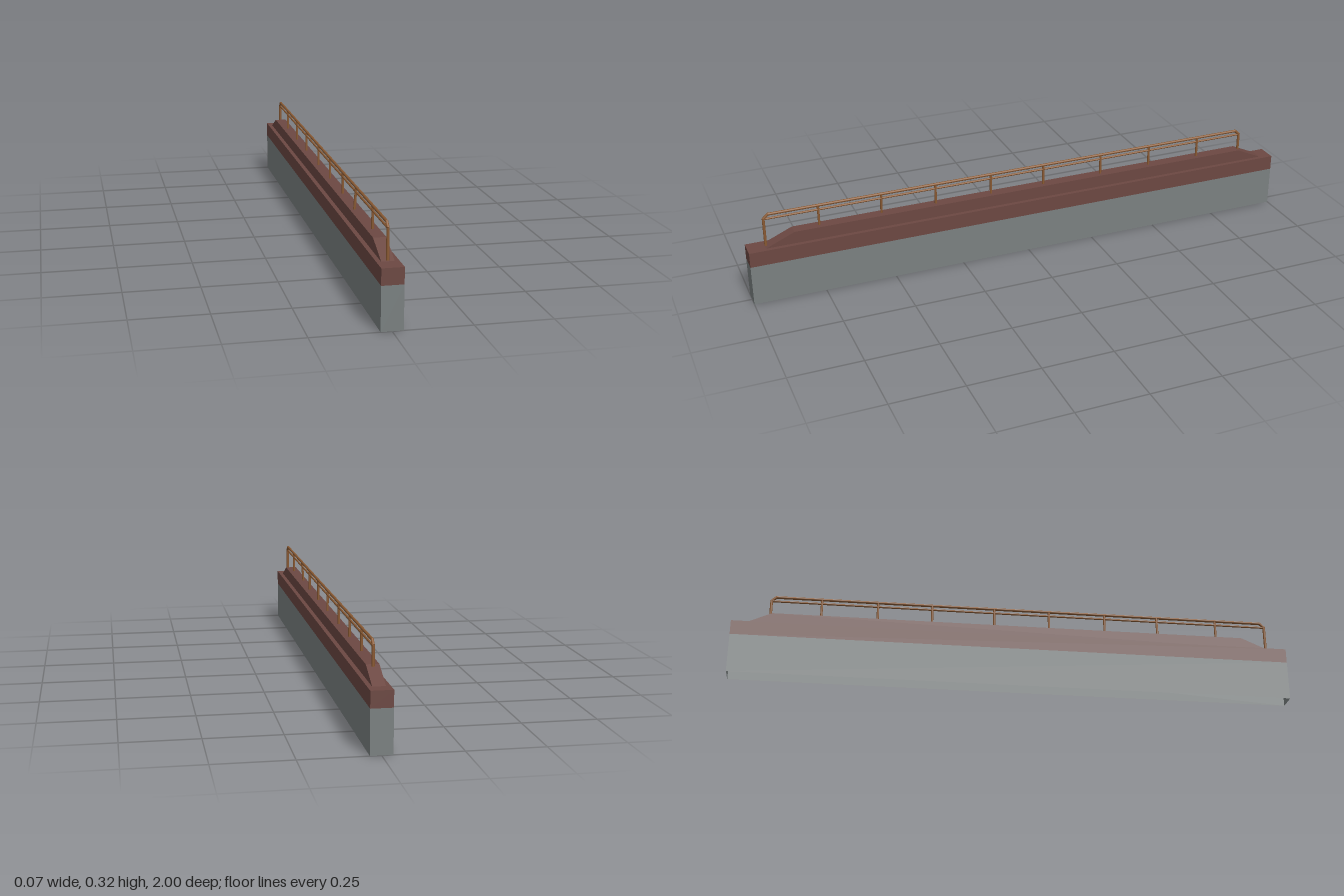
import * as THREE from 'three';

export function createModel() {
  const model = new THREE.Group();
  const mat = (name, color) => new THREE.MeshStandardMaterial({ name, color, side: THREE.DoubleSide });
  const stone = mat('grey stone', 0x7a8080);
  const brick = mat('red brown brick', 0x6c4842);
  const rust = mat('rusty iron', 0x8a5a33);

  const add = (name, geometry, material, parent = model) => {
    const mesh = new THREE.Mesh(geometry, material);
    mesh.name = name;
    parent.add(mesh);
    return mesh;
  };

  // Open tube of four walls, with no top or bottom
  const walls = (width, y0, y1, depth) => {
    const g = new THREE.BoxGeometry(width, y1 - y0, depth).translate(0, (y0 + y1) / 2, 0);
    const index = Array.from(g.index.array);
    g.setIndex([...index.slice(0, 12), ...index.slice(24)]); // drop the +y and -y faces
    g.clearGroups();
    return g;
  };

  // Wall: hollow stone base, brick band and its flat top
  add('wallBase', walls(0.07, 0, 0.142, 2), stone);
  add('wallBand', walls(0.07, 0.142, 0.195, 2), brick);
  add('wallTop', new THREE.PlaneGeometry(0.07, 2).rotateX(-Math.PI / 2).translate(0, 0.195, 0), brick);

  // Raised coping with sloping ends, drawn in the z-y plane and extruded across x
  const profile = new THREE.Shape([[-0.94, 0.195], [0.955, 0.195], [0.86, 0.238], [-0.84, 0.238]]
    .map(([z, y]) => new THREE.Vector2(z, y)));
  const coping = new THREE.ExtrudeGeometry(profile, { depth: 0.041, bevelEnabled: false });
  add('coping', coping.translate(0, 0, -0.0205).rotateY(Math.PI / 2), brick);

  // Railing made of round bars
  const railing = new THREE.Group();
  railing.name = 'railing';
  model.add(railing);
  const bar = (name, from, to, radius) => {
    const a = new THREE.Vector3(...from), b = new THREE.Vector3(...to);
    const mesh = add(name, new THREE.CylinderGeometry(radius, radius, a.distanceTo(b), 14), rust, railing);
    mesh.position.copy(a).add(b).multiplyScalar(0.5);
    mesh.quaternion.setFromUnitVectors(new THREE.Vector3(0, 1, 0), b.sub(a).normalize());
  };
  const front = 0.936, back = -0.868;
  bar('topRail', [0, 0.311, front - 0.015], [0, 0.311, back + 0.015], 0.0048);
  bar('lowerRail', [0, 0.295, front], [0, 0.295, back], 0.0035);
  for (const [z, s] of [[front, -1], [back, 1]]) {
    bar('endPost', [0, 0.197, z], [0, 0.298, z], 0.0048);
    bar('railCorner', [0, 0.296, z], [0, 0.312, z + s * 0.017], 0.0048);
  }
  // Middle posts, one of them bent out of line
  for (const z of [0.75, 0.53, 0.335, 0.13, -0.07, -0.295, -0.49, -0.69]) {
    const lean = z === 0.53 ? -0.006 : 0;
    bar('post', [lean, 0.232, z], [0, 0.311, z], 0.0042);
  }
  return model;
}
